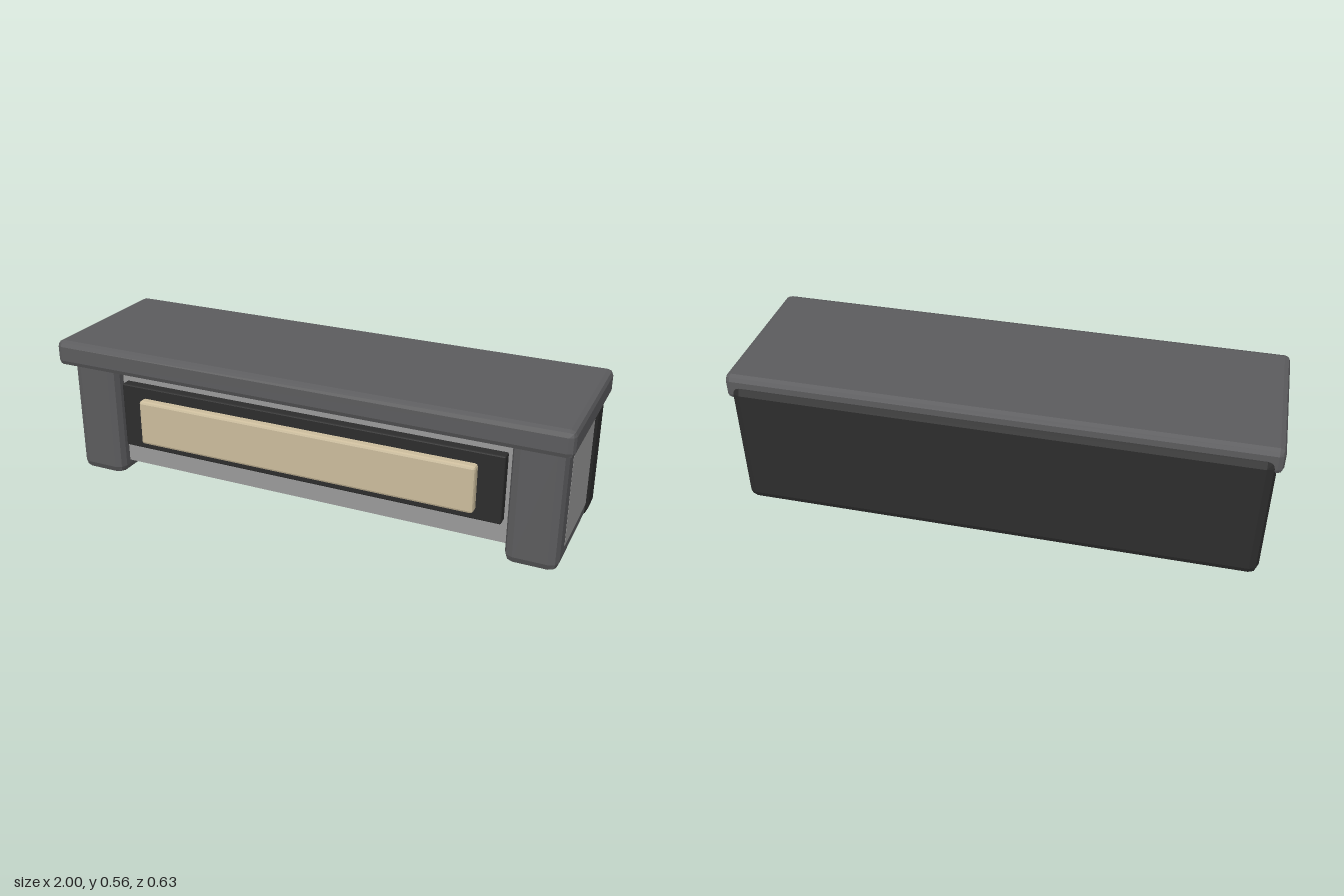
import * as THREE from 'three';
import { RoundedBoxGeometry } from 'three/addons/geometries/RoundedBoxGeometry.js';

const paint = (name, color) => {
  const m = new THREE.MeshStandardMaterial({ color, flatShading: true });
  m.name = name;
  return m;
};

export function createModel() {
  const grey = paint('darkGrey', 0x5b5b5d);
  const black = paint('charcoal', 0x2c2c2c);
  const light = paint('lightGrey', 0x999999);
  const tan = paint('tan', 0xcbbc9c);
  const group = new THREE.Group();

  // Box between two corners; a bevel radius gives it two-facet edges
  function box(name, material, [x0, y0, z0], [x1, y1, z1], bevel = 0) {
    const size = [x1 - x0, y1 - y0, z1 - z0];
    const geometry = bevel
      ? new RoundedBoxGeometry(...size, 1, bevel)
      : new THREE.BoxGeometry(...size);
    const mesh = new THREE.Mesh(geometry, material);
    mesh.name = name;
    mesh.position.set((x0 + x1) / 2, (y0 + y1) / 2, (z0 + z1) / 2);
    group.add(mesh);
  }

  // Overhanging top and tall back
  box('topSlab', grey, [-1, 0.463, -0.3], [1, 0.563, 0.313], 0.022);
  box('backPanel', black, [-0.978, 0.002, -0.313], [0.978, 0.525, -0.163], 0.034);

  // Core, whose ends show as side panels, and the recessed front
  box('core', light, [-0.973, 0.068, -0.165], [0.973, 0.47, 0.165]);
  box('frontRecess', light, [-0.79, 0.05, -0.18], [0.79, 0.47, 0.2]);

  // End posts
  for (const [name, x] of [['leftPost', 0.877], ['rightPost', -0.877]]) {
    box(name, grey, [x - 0.095, 0.002, -0.19], [x + 0.095, 0.49, 0.257], 0.033);
  }

  // Front plaque in its dark frame
  box('plaqueFrame', black, [-0.763, 0.138, 0.17], [0.763, 0.398, 0.237], 0.005);
  box('plaque', tan, [-0.67, 0.173, 0.22], [0.67, 0.353, 0.27], 0.01);

  return group;
}
